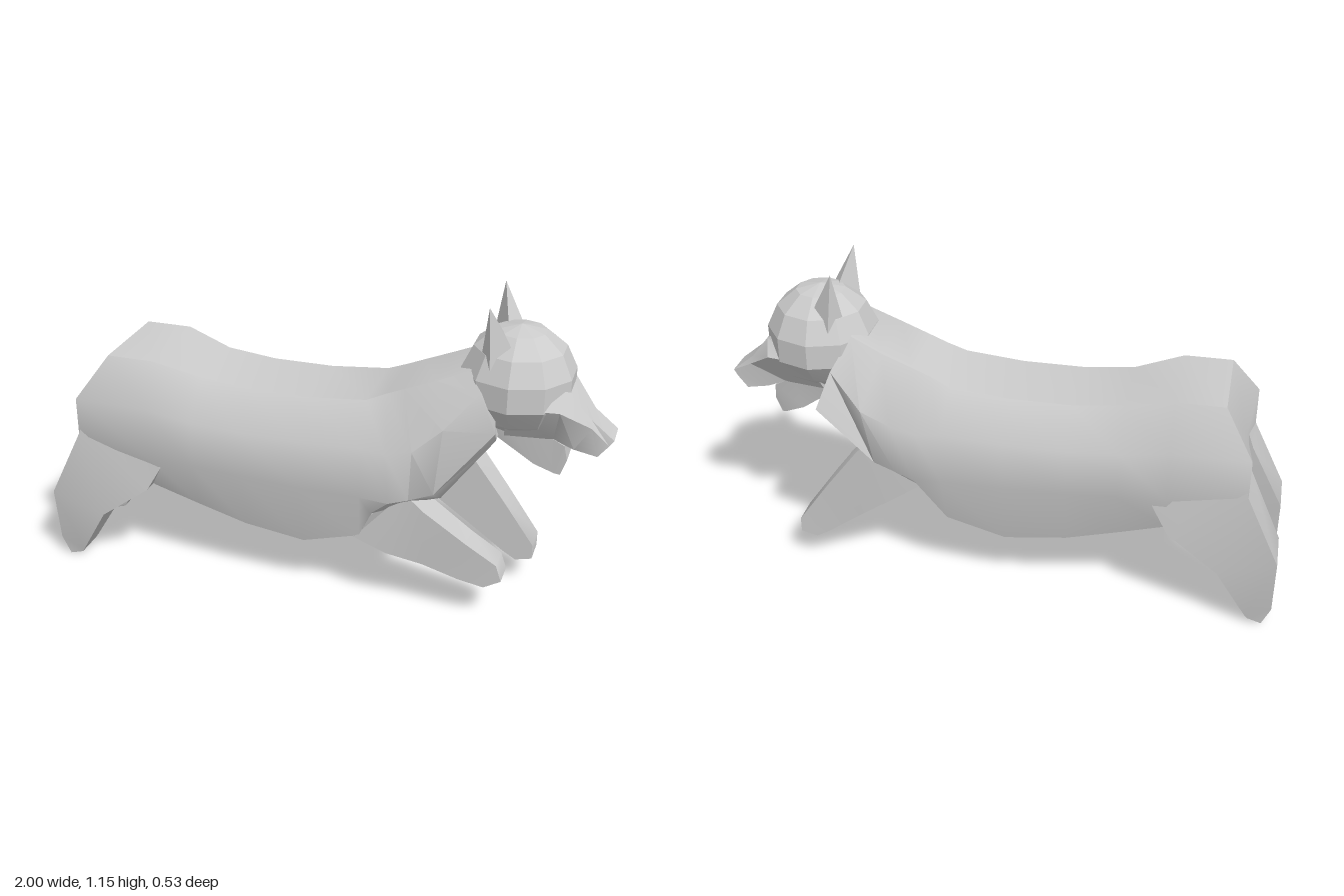
import * as THREE from 'three';
import { toCreasedNormals } from 'three/addons/utils/BufferGeometryUtils.js';

const material = new THREE.MeshStandardMaterial({ color: 0xcccccc });

// Skin a list of closed loops of [x, y, z] points, with a fan cap at each end.
function loft(name, loops, crease = 0.3) {
  const n = loops[0].length;
  const tris = [];
  for (let i = 0; i < loops.length - 1; i++) {
    for (let j = 0; j < n; j++) {
      const k = (j + 1) % n;
      const a = loops[i][j], b = loops[i][k], c = loops[i + 1][k], d = loops[i + 1][j];
      tris.push([a, b, c], [a, c, d]);
    }
  }
  const cap = (loop, flip) => {
    const mid = [0, 1, 2].map((c) => loop.reduce((s, p) => s + p[c], 0) / n);
    loop.forEach((p, j) => {
      const q = loop[(j + 1) % n];
      tris.push(flip ? [mid, q, p] : [mid, p, q]);
    });
  };
  cap(loops[0], true);
  cap(loops[loops.length - 1], false);

  // Turn the faces outward whichever way the loops run.
  const v = tris.map((t) => t.map((p) => new THREE.Vector3(...p)));
  const o = new THREE.Vector3(...loops[0][0]);
  const volume = v.reduce((s, [a, b, c]) => {
    const [p, q, r] = [a, b, c].map((w) => w.clone().sub(o));
    return s + p.dot(q.cross(r));
  }, 0);
  const points = v.flatMap(([a, b, c]) => (volume < 0 ? [a, c, b] : [a, b, c]));
  const geometry = new THREE.BufferGeometry().setFromPoints(points);
  const mesh = new THREE.Mesh(toCreasedNormals(geometry, crease), material);
  mesh.name = name;
  return mesh;
}

const mirror = ([x, y, z]) => [x, y, -z];

// Full ring from the points of the left half, top to bottom.
const ring = (half, right = half.map(mirror)) => [...half, ...[...right].reverse()];

// Four-sided section: rear/upper point, front/lower point, inner and outer z.
const slab = ([x1, y1, x2, y2, z1, z2]) =>
  [[x1, y1, z1], [x1, y1, z2], [x2, y2, z2], [x2, y2, z1]];

export function createModel() {
  const model = new THREE.Group();
  model.name = 'leapingAnimal';

  // Rump, trunk and chest: top, upper side, lower side, bottom
  const trunk = [
    [[-0.78, 0.82, 0.17], [-0.88, 0.67, 0.25], [-0.88, 0.53, 0.25], [-0.87, 0.48, 0.1]],
    [[-0.61, 0.82, 0.17], [-0.61, 0.67, 0.255], [-0.61, 0.48, 0.255], [-0.61, 0.34, 0.2]],
    [[-0.44, 0.77, 0.14], [-0.44, 0.64, 0.25], [-0.44, 0.47, 0.25], [-0.44, 0.29, 0.2]],
    [[-0.26, 0.75, 0.14], [-0.26, 0.63, 0.25], [-0.26, 0.46, 0.25], [-0.26, 0.24, 0.2]],
    [[-0.04, 0.75, 0.14], [-0.04, 0.63, 0.25], [-0.04, 0.45, 0.25], [-0.04, 0.21, 0.2]],
    [[0.17, 0.77, 0.14], [0.18, 0.64, 0.25], [0.18, 0.45, 0.25], [0.17, 0.275, 0.21]],
    [[0.24, 0.80, 0.13], [0.27, 0.63, 0.25], [0.28, 0.44, 0.245], [0.21, 0.37, 0.21]],
    [[0.30, 0.825, 0.13], [0.36, 0.65, 0.245], [0.35, 0.46, 0.235], [0.38, 0.42, 0.15]],
  ].map((half) => ring(half));

  // Neck, a little fuller on the right
  trunk.push(ring(
    [[0.41, 0.87, 0.13], [0.46, 0.74, 0.23], [0.43, 0.48, 0.205], [0.44, 0.43, 0.13]],
    [[0.41, 0.87, -0.13], [0.46, 0.70, -0.25], [0.43, 0.48, -0.22], [0.44, 0.43, -0.13]],
  ), ring(
    [[0.52, 0.92, 0.12], [0.57, 0.87, 0.185], [0.63, 0.74, 0.2], [0.62, 0.68, 0.13]],
    [[0.52, 0.92, -0.12], [0.58, 0.81, -0.19], [0.62, 0.69, -0.25], [0.61, 0.67, -0.13]],
  ));
  model.add(loft('body', trunk, 0.8));

  // Hind legs, stretched back
  const hind = [
    [-0.85, 0.62, -0.52, 0.52, 0.06, 0.235],
    [-0.88, 0.53, -0.62, 0.345, 0.07, 0.254],
    [-1.0, 0.28, -0.80, 0.215, 0.1, 0.267],
    [-1.0, 0.07, -0.91, 0.03, 0.125, 0.24],
    [-0.97, 0.0, -0.92, 0.015, 0.13, 0.235],
  ].map(slab);
  model.add(loft('leftHindLeg', hind, 0.5));
  model.add(loft('rightHindLeg', hind.map((s) => s.map(mirror)), 0.5));

  // Front legs, reaching forward by different amounts
  model.add(loft('leftFrontLeg', [
    [0.33, 0.47, 0.15, 0.265, 0.11, 0.21],
    [0.40, 0.42, 0.27, 0.23, 0.11, 0.225],
    [0.55, 0.31, 0.40, 0.20, 0.11, 0.21],
    [0.66, 0.24, 0.53, 0.16, 0.11, 0.205],
    [0.68, 0.18, 0.62, 0.145, 0.11, 0.205],
  ].map(slab), 0.7));
  model.add(loft('rightFrontLeg', [
    [0.40, 0.60, 0.24, 0.41, -0.08, -0.2],
    [0.50, 0.50, 0.33, 0.345, -0.08, -0.2],
    [0.62, 0.34, 0.50, 0.225, -0.08, -0.19],
    [0.74, 0.17, 0.63, 0.13, -0.08, -0.185],
    [0.74, 0.115, 0.68, 0.10, -0.08, -0.185],
  ].map(slab), 0.7));

  // Faceted skull, with cheeks drawn in toward the jaw
  const ball = new THREE.SphereGeometry(0.2, 10, 7).rotateY(Math.PI / 10);
  const pos = ball.attributes.position;
  for (let i = 0; i < pos.count; i++) {
    pos.setZ(i, pos.getZ(i) * (1 + 2 * Math.min(0, pos.getY(i) + 0.05)));
  }
  const skull = new THREE.Mesh(toCreasedNormals(ball, 0.1), material);
  skull.name = 'skull';
  skull.position.set(0.66, 0.857, 0);
  model.add(skull);

  // Muzzle, sloping from the brow and cheeks to a blunt nose
  model.add(loft('muzzle', [
    [[0.68, 0.96, 0.1], [0.66, 0.83, 0.19], [0.64, 0.69, 0.1]],
    [[0.845, 0.86, 0.08], [0.825, 0.815, 0.14], [0.80, 0.68, 0.06]],
    [[0.92, 0.765, 0.05], [0.925, 0.74, 0.065], [0.87, 0.65, 0.055]],
    [[1.0, 0.70, 0.05], [0.985, 0.68, 0.055], [0.95, 0.635, 0.055]],
  ].map((half) => ring(half)), 0.45));

  // Open lower jaw
  model.add(loft('lowerJaw', [
    [[0.62, 0.76, 0.1], [0.60, 0.68, 0.08]],
    [[0.77, 0.70, 0.065], [0.74, 0.575, 0.055]],
    [[0.84, 0.66, 0.06], [0.81, 0.545, 0.045]],
    [[0.85, 0.60, 0.045], [0.83, 0.54, 0.04]],
  ].map((half) => ring(half))));

  // Pointed ears
  const tip = [0.575, 1.15, 0.133];
  const ear = [
    [[0.55, 0.97, 0.10], [0.59, 0.94, 0.155], [0.655, 1.0, 0.11], [0.61, 1.03, 0.035]],
    [tip, tip, tip, tip],
  ];
  model.add(loft('leftEar', ear));
  model.add(loft('rightEar', ear.map((s) => s.map(mirror))));

  return model;
}
